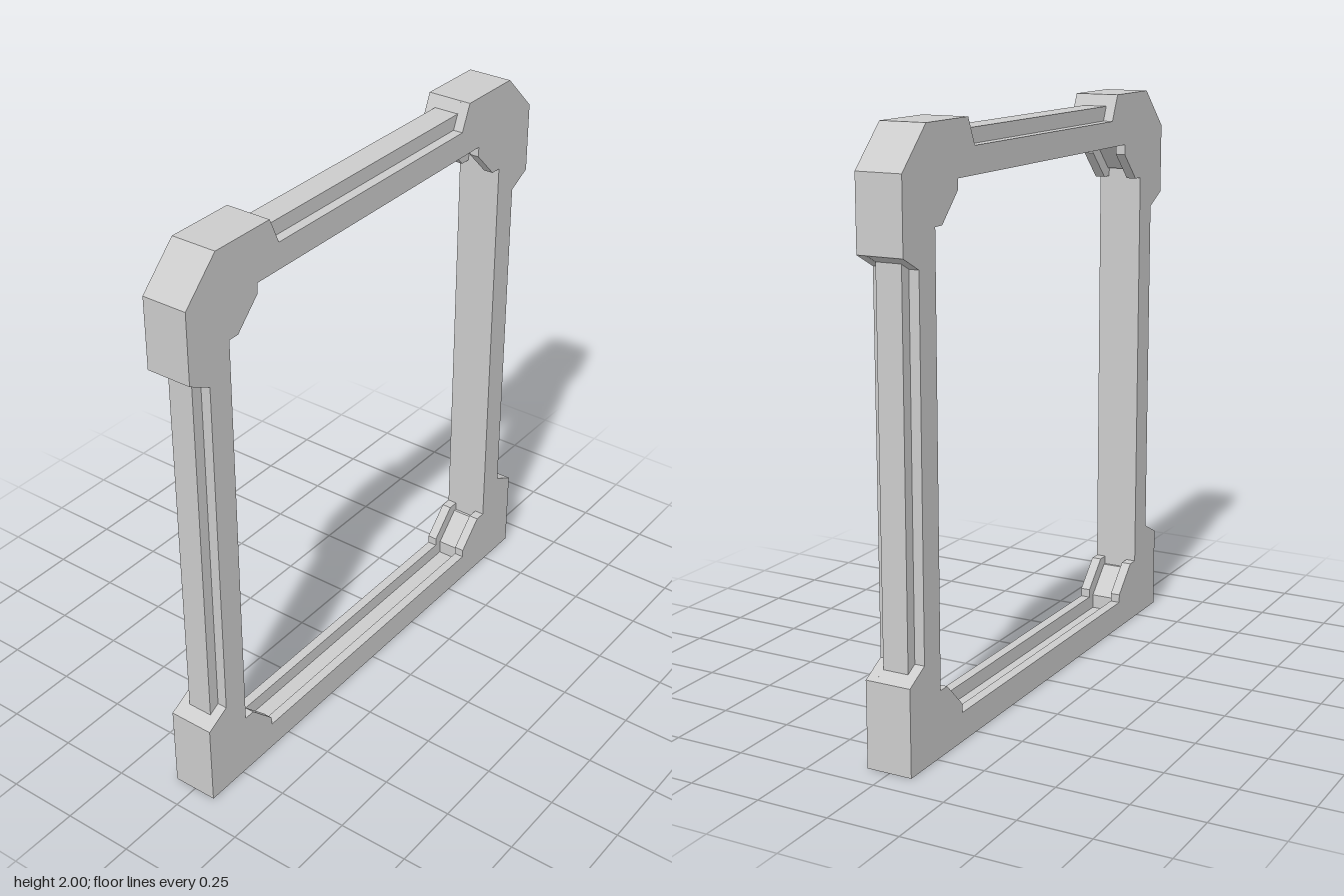
import * as THREE from 'three';

const D = 0.08;   // half depth of the frame
const S = 0.045;  // half width of the ridges and grooves

const mirror = half => [...half, ...half.slice().reverse().map(([x, y]) => [-x, y])];

// outer outline, open along the bottom
const outer = mirror([[0.907, 0], [0.907, 0.295], [0.82, 0.34], [0.82, 1.575], [0.907, 1.62],
  [0.907, 1.865], [0.77, 2], [0.525, 2], [0.485, 1.91]]);
// the same outline along the raised centre ridges
const outerRidge = mirror([[0.907, 0], [0.907, 0.295], [0.86, 0.319], [0.86, 1.596], [0.907, 1.62],
  [0.907, 1.865], [0.77, 2], [0.525, 2], [0.507, 1.96]]);
// opening with corner gussets
const inner = mirror([[0.59, 0.1], [0.59, 0.13], [0.685, 0.225], [0.725, 0.225],
  [0.725, 1.69], [0.685, 1.69], [0.59, 1.785], [0.59, 1.82]]);
// the same opening along the sunken centre groove
const innerGroove = mirror([[0.62, 0.05], [0.62, 0.1], [0.715, 0.195], [0.725, 0.195],
  [0.725, 1.72], [0.715, 1.72], [0.62, 1.815], [0.62, 1.87]]);

// skin stepped cross-sections from back to front: rim, centre strip, rim
function steppedWall(rim, centre, closed) {
  const rings = [[rim, -D], [rim, -S], [centre, -S], [centre, S], [rim, S], [rim, D]]
    .map(([pts, z]) => pts.map(([x, y]) => new THREE.Vector3(x, y, z)));
  const pos = [];
  const tri = (a, b, c) => {
    if (a.equals(b) || b.equals(c) || a.equals(c)) return;
    for (const v of [a, b, c]) pos.push(v.x, v.y, v.z);
  };
  const n = rim.length;
  for (let r = 0; r < rings.length - 1; r++) {
    for (let i = 0; i < (closed ? n : n - 1); i++) {
      const j = (i + 1) % n, lo = rings[r], hi = rings[r + 1];
      tri(lo[i], lo[j], hi[j]);
      tri(lo[i], hi[j], hi[i]);
    }
  }
  const geo = new THREE.BufferGeometry();
  geo.setAttribute('position', new THREE.Float32BufferAttribute(pos, 3));
  geo.computeVertexNormals();
  return geo;
}

export function createModel() {
  const group = new THREE.Group();
  group.name = 'squareFrame';
  const material = new THREE.MeshStandardMaterial({
    color: 0xcccccc, flatShading: true, side: THREE.DoubleSide,
  });
  const add = (name, geo) => {
    const mesh = new THREE.Mesh(geo, material);
    mesh.name = name;
    group.add(mesh);
    return mesh;
  };

  // flat front and back faces
  const toV2 = pts => pts.map(([x, y]) => new THREE.Vector2(x, y));
  const shape = new THREE.Shape(toV2(outer));
  shape.holes.push(new THREE.Path(toV2(inner)));
  const face = new THREE.ShapeGeometry(shape);
  add('frontFace', face).position.z = D;
  const back = add('backFace', face);
  back.rotation.y = Math.PI;
  back.position.z = -D;

  // outer rim with ridges, left open underneath
  add('outerRim', steppedWall(outer, outerRidge, false));
  // inner rim with grooved rails and gussets
  add('innerRim', steppedWall(inner.slice().reverse(), innerGroove.slice().reverse(), true));
  return group;
}
